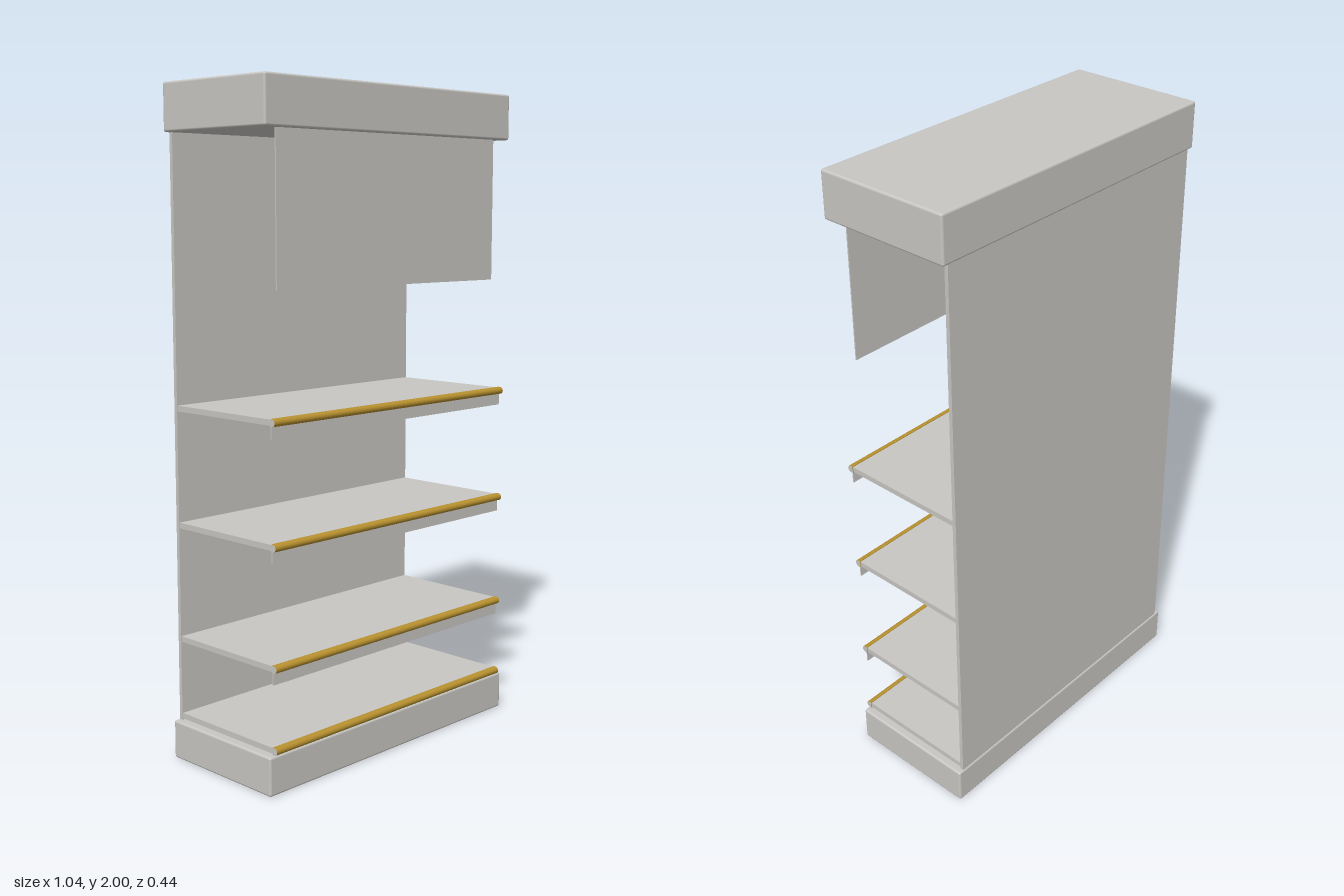
import * as THREE from 'three';
import { RoundedBoxGeometry } from 'three/addons/geometries/RoundedBoxGeometry.js';

export function createModel() {
  const group = new THREE.Group();
  group.name = 'shelvingDisplay';
  const grey = new THREE.MeshStandardMaterial({ color: 0xc8c6c2 });
  grey.name = 'warm grey';
  const gold = new THREE.MeshStandardMaterial({ color: 0xb8912f });
  gold.name = 'gold trim';

  const add = (name, geometry, material = grey) => {
    const mesh = new THREE.Mesh(geometry, material);
    mesh.name = name;
    group.add(mesh);
    return mesh;
  };
  // Blocks are given by half width and their y and z ranges
  const block = (name, hw, y0, y1, z0, z1, radius = 0) => {
    const size = [2 * hw, y1 - y0, z1 - z0];
    const geometry = radius
      ? new RoundedBoxGeometry(...size, 3, radius)
      : new THREE.BoxGeometry(...size);
    add(name, geometry).position.set(0, (y0 + y1) / 2, (z0 + z1) / 2);
  };

  // Plinth, header and back panel
  block('base', 0.52, 0, 0.117, -0.218, 0.211, 0.007);
  block('header', 0.52, 1.86, 2, -0.218, 0.211, 0.007);
  block('backPanel', 0.5, 0.11, 1.87, -0.214, -0.202);

  // Thin sign board hanging under the header
  block('signBoard', 0.464, 1.424, 1.87, 0.188, 0.192);

  // Round-nosed edge trim, with plain end caps
  const profile = new THREE.Shape();
  profile.moveTo(-0.199, -0.011);
  profile.lineTo(-0.207, -0.011);
  profile.absarc(-0.207, 0, 0.011, -Math.PI / 2, -Math.PI * 1.5, true);
  profile.lineTo(-0.199, 0.011);
  profile.closePath();
  const trim = new THREE.ExtrudeGeometry(profile, { depth: 1, bevelEnabled: false, curveSegments: 8 });
  trim.translate(0, 0, -0.5).rotateY(Math.PI / 2);

  // Shelves with gold noses; the upper three carry a lip underneath
  [0.129, 0.369, 0.717, 1.067].forEach((y, i) => {
    block('shelf', 0.498, y - 0.008, y + 0.009, -0.203, 0.2);
    add('shelfTrim', trim, [grey, gold]).position.y = y;
    if (i > 0) block('shelfLip', 0.498, y - 0.046, y - 0.008, 0.2, 0.204);
  });
  return group;
}
